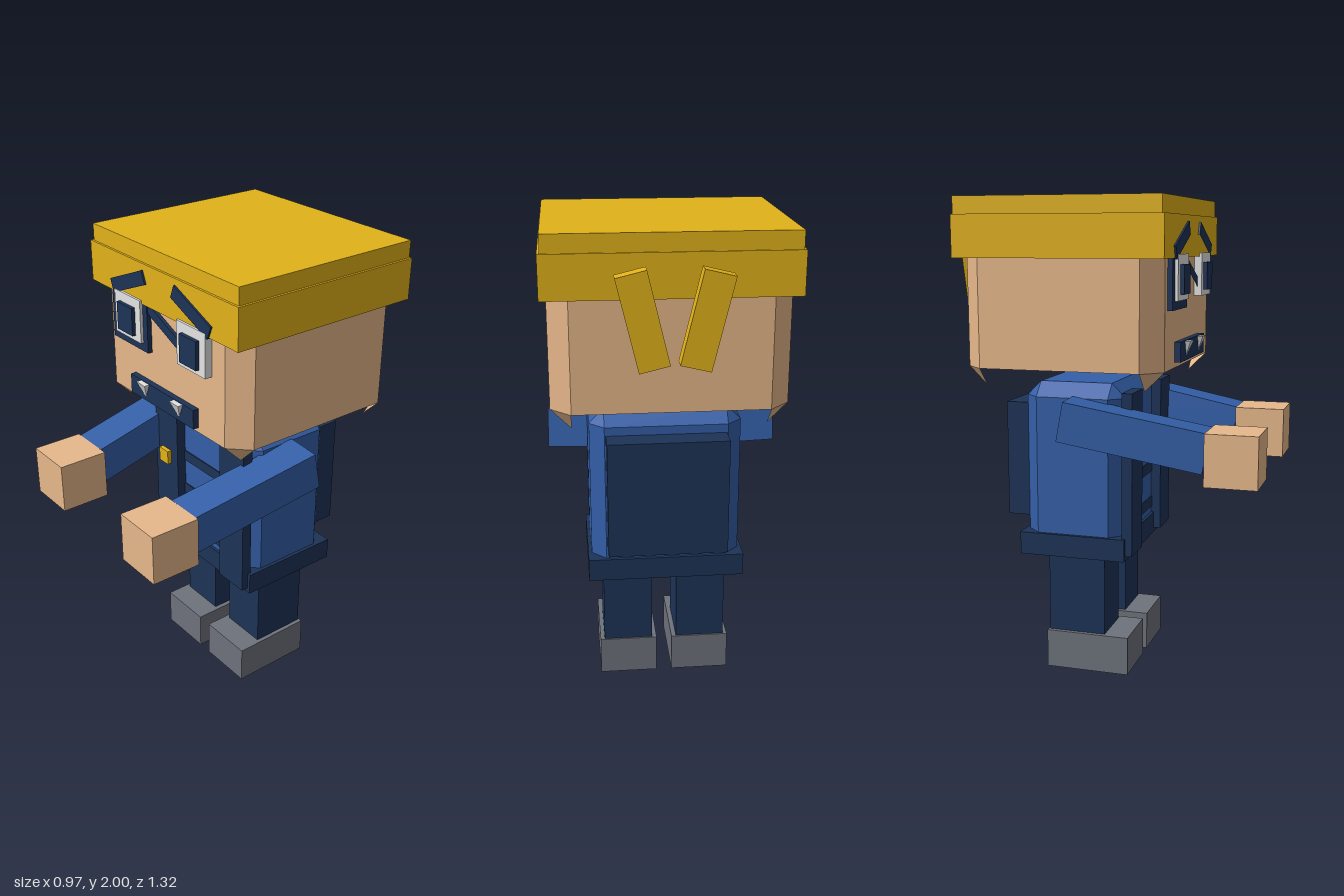
import * as THREE from 'three';

const mat = (name, color) => {
  const m = new THREE.MeshStandardMaterial({ color, side: THREE.DoubleSide });
  m.name = name;
  return m;
};

// Box without an underside
function openBox(w, h, d) {
  const g = new THREE.BoxGeometry(w, h, d);
  const index = Array.from(g.index.array);
  index.splice(18, 6);
  g.setIndex(index);
  g.clearGroups();
  return g;
}

// Box with cut edges and corners, without an underside or lower edge strips
function openChamferBox(hx, hy, hz, c) {
  const pos = [];
  const h = [hx, hy, hz];
  // corner vertex lying on the face of the given axis
  const v = (s, axis) => new THREE.Vector3(...s.map((k, i) => k * (h[i] - (i === axis ? 0 : c))));
  const poly = pts => {
    const n = new THREE.Vector3().crossVectors(pts[1].clone().sub(pts[0]), pts[2].clone().sub(pts[0]));
    const mid = pts.reduce((a, p) => a.add(p), new THREE.Vector3());
    if (n.dot(mid) < 0) pts.reverse();
    for (let i = 1; i < pts.length - 1; i++) {
      for (const p of [pts[0], pts[i], pts[i + 1]]) pos.push(p.x, p.y, p.z);
    }
  };
  const sign = (a, sa, b, sb, d, sd) => {
    const s = [0, 0, 0];
    s[a] = sa; s[b] = sb; s[d] = sd;
    return s;
  };
  for (let a = 0; a < 3; a++) {
    const b = (a + 1) % 3, d = (a + 2) % 3;
    for (const sa of [-1, 1]) {
      if (a === 1 && sa < 0) continue;
      // flat side
      poly([[-1, -1], [1, -1], [1, 1], [-1, 1]].map(([p, q]) => v(sign(a, sa, b, p, d, q), a)));
      // cut edges between this side and the next axis
      for (const sb of [-1, 1]) {
        if (b === 1 && sb < 0) continue;
        const lo = sign(a, sa, b, sb, d, -1), hi = sign(a, sa, b, sb, d, 1);
        poly([v(lo, a), v(hi, a), v(hi, b), v(lo, b)]);
      }
    }
  }
  // cut corners
  for (const x of [-1, 1]) for (const y of [-1, 1]) for (const z of [-1, 1]) {
    poly([0, 1, 2].map(i => v([x, y, z], i)));
  }
  const g = new THREE.BufferGeometry();
  g.setAttribute('position', new THREE.Float32BufferAttribute(pos, 3));
  g.computeVertexNormals();
  return g;
}

export function createModel() {
  const root = new THREE.Group();
  root.name = 'blockFigure';

  const gold = mat('gold', 0xe2b21a);
  const skin = mat('skin', 0xe7b88b);
  const blue = mat('blue', 0x345fa8);
  const navy = mat('navy', 0x1d3357);
  const grey = mat('grey', 0x6e727b);
  const white = mat('white', 0xe4e4e4);

  const add = (name, geo, m, x, y, z) => {
    const mesh = new THREE.Mesh(geo, m);
    mesh.name = name;
    mesh.position.set(x, y, z);
    root.add(mesh);
    return mesh;
  };
  // box from its limits on each axis
  const box = (name, m, x0, x1, y0, y1, z0, z1) =>
    add(name, openBox(x1 - x0, y1 - y0, z1 - z0), m,
      (x0 + x1) / 2, (y0 + y1) / 2, (z0 + z1) / 2);

  // head and cap
  add('head', openChamferBox(0.46, 0.33, 0.414, 0.08), skin, 0, 1.57, -0.137);
  box('capBand', gold, -0.485, 0.485, 1.76, 1.93, -0.57, 0.3);
  box('capTop', gold, -0.475, 0.475, 1.93, 2, -0.565, 0.29);

  // face
  box('eyePatch', navy, -0.34, -0.094, 1.557, 1.77, 0.262, 0.297);
  const strap = add('patchStrap', openBox(0.29, 0.04, 0.02), navy, 0.015, 1.7, 0.282);
  strap.rotation.z = -0.41;
  box('mouth', navy, -0.22, 0.214, 1.342, 1.425, 0.27, 0.303);
  for (const s of [-1, 1]) {
    const ex = s * 0.213;
    box('eyeWhite', white, ex - 0.09, ex + 0.09, 1.593, 1.775, 0.25, 0.31);
    box('pupil', navy, ex - 0.053, ex + 0.053, 1.617, 1.735, 0.3, 0.326);
    const brow = add('eyebrow', openBox(0.247, 0.058, 0.03), navy, s * 0.21, 1.83, 0.293);
    brow.rotation.z = -s * 0.395;
    // four-sided fang pointing down
    const fang = new THREE.ConeGeometry(0.042, 0.075, 4).toNonIndexed();
    fang.rotateY(Math.PI / 4);
    fang.rotateX(Math.PI);
    fang.computeVertexNormals();
    add('fang', fang, white, s * 0.116, 1.385, 0.297);
  }

  // ornament behind the cap: two slanted bars
  for (const s of [-1, 1]) {
    const bar = add('backBar', openBox(0.118, 0.36, 0.063), gold, s * 0.117, 1.697, -0.63);
    bar.rotation.z = -s * 0.237;
  }

  // torso and clothing
  add('torso', openChamferBox(0.31, 0.375, 0.215, 0.06), blue, 0, 0.876, -0.133);
  box('belt', navy, -0.325, 0.325, 0.515, 0.61, -0.363, 0.095);
  box('backpack', navy, -0.245, 0.245, 0.665, 1.155, -0.446, -0.34);
  for (const y of [0.638, 0.803, 0.97]) {
    box('shirtStripe', navy, -0.16, 0.16, y, y + 0.047, 0.078, 0.087);
  }

  for (const s of [-1, 1]) {
    const mirrored = (name, m, x0, x1, ...rest) =>
      box(name, m, Math.min(s * x0, s * x1), Math.max(s * x0, s * x1), ...rest);
    mirrored('vestPanel', navy, 0.151, 0.31, 0.536, 1.22, 0.08, 0.125);
    mirrored('vestButton', gold, 0.198, 0.26, 0.943, 1.007, 0.12, 0.145);
    mirrored('leg', navy, 0.053, 0.262, 0.165, 0.498, -0.257, -0.01);
    mirrored('foot', grey, 0.033, 0.28, 0, 0.165, -0.264, 0.097);
    mirrored('hand', skin, 0.225, 0.438, 0.885, 1.097, 0.45, 0.663);

    // sleeve reaching forward and slightly inward
    const from = new THREE.Vector3(s * 0.394, 1.12, -0.136);
    const to = new THREE.Vector3(s * 0.342, 1.012, 0.448);
    const mid = from.clone().add(to).multiplyScalar(0.5);
    const arm = add('arm', openBox(0.163, 0.163, from.distanceTo(to)), blue, mid.x, mid.y, mid.z);
    arm.lookAt(to);
  }
  return root;
}
